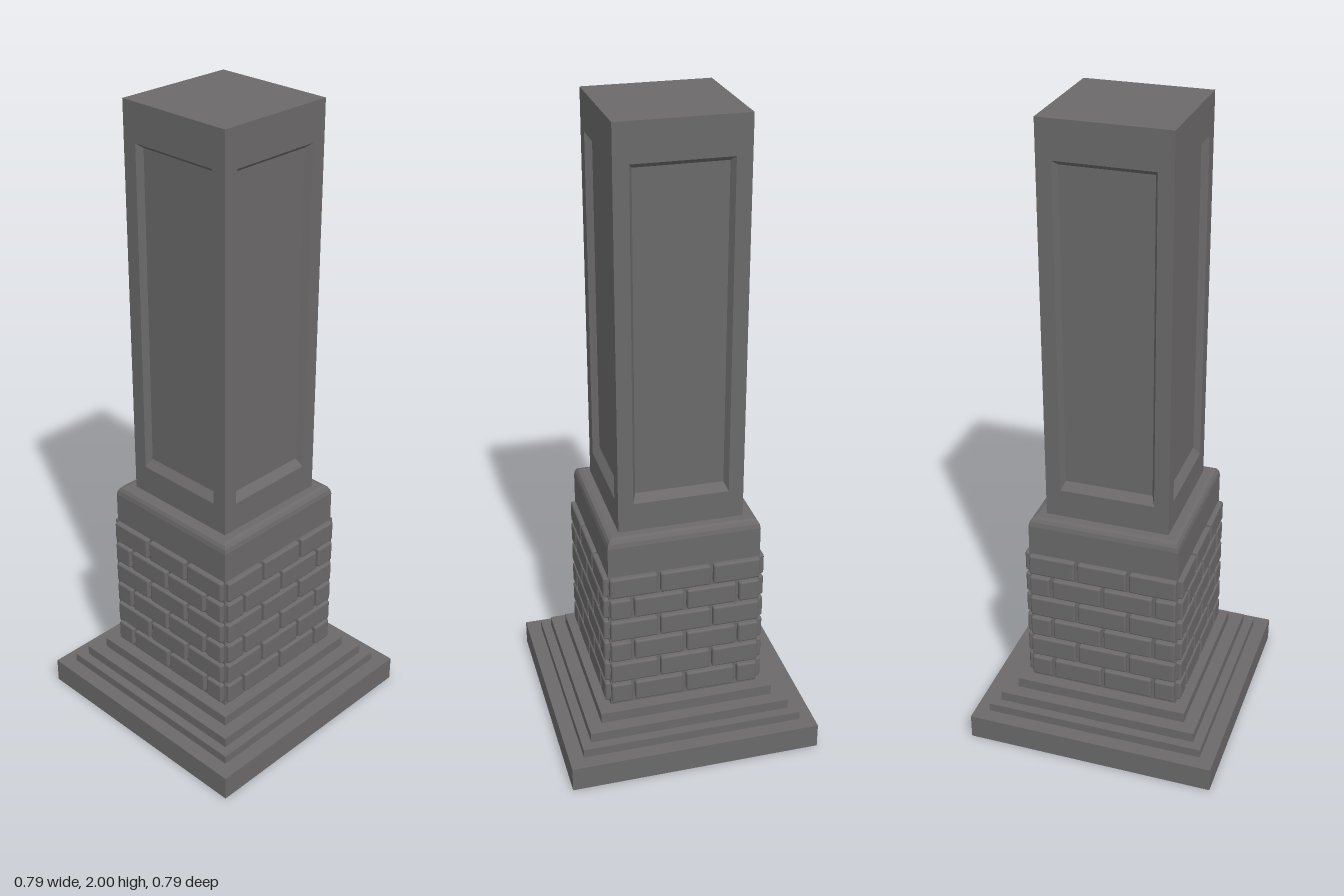
import * as THREE from 'three';
import { RoundedBoxGeometry } from 'three/addons/geometries/RoundedBoxGeometry.js';

const stone = new THREE.MeshStandardMaterial({ color: 0x6b6969 });
stone.name = 'grey stone';

function add(parent, geometry, name, x = 0, y = 0, z = 0) {
  const mesh = new THREE.Mesh(geometry, stone);
  mesh.name = name;
  mesh.position.set(x, y, z);
  parent.add(mesh);
  return mesh;
}

// Square-plan solid from a profile of [half width, height] points
function squareLathe(profile) {
  const points = profile.map(([h, y]) => new THREE.Vector2(h * Math.SQRT2, y));
  const geometry = new THREE.LatheGeometry(points, 4, Math.PI / 4).toNonIndexed();
  geometry.computeVertexNormals();
  return geometry;
}

// One face of the shaft: outer rim, bevelled opening and sunken panel
function panelFace(half, bottom, top) {
  const rings = [
    [half, bottom, top, half],
    [0.147, 0.86, 1.885, half],
    [0.136, 0.885, 1.87, half - 0.02],
  ].map(([w, lo, hi, z]) => [[-w, lo, z], [w, lo, z], [w, hi, z], [-w, hi, z]]);
  const positions = [];
  const quad = (a, b, c, d) => positions.push(...a, ...b, ...c, ...a, ...c, ...d);
  for (let r = 0; r < 2; r++) {
    for (let i = 0; i < 4; i++) {
      const j = (i + 1) % 4;
      quad(rings[r][i], rings[r][j], rings[r + 1][j], rings[r + 1][i]);
    }
  }
  quad(...rings[2]);
  const geometry = new THREE.BufferGeometry();
  geometry.setAttribute('position', new THREE.Float32BufferAttribute(positions, 3));
  geometry.computeVertexNormals();
  return geometry;
}

export function createModel() {
  const model = new THREE.Group();
  model.name = 'column';

  // Stepped plinth: half width, bottom, top
  const steps = [[0.396, 0, 0.08], [0.35, 0.08, 0.108], [0.32, 0.108, 0.14], [0.277, 0.14, 0.174]];
  steps.forEach(([half, lo, hi], i) => {
    add(model, new THREE.BoxGeometry(half * 2, hi - lo, half * 2), `plinthStep${i + 1}`, 0, (lo + hi) / 2, 0);
  });

  // Pedestal core with rounded shoulder
  add(model, squareLathe([
    [0.237, 0.174], [0.237, 0.742], [0.234, 0.756], [0.228, 0.766], [0.217, 0.77], [0, 0.77],
  ]), 'pedestalCore');

  // Brick courses in running bond on all four sides
  const joints = [[-0.24, -0.083, 0.083, 0.24], [-0.24, -0.165, 0, 0.165, 0.24]];
  const gap = 0.01;
  for (let side = 0; side < 4; side++) {
    const wall = new THREE.Group();
    wall.name = `brickWall${side + 1}`;
    wall.rotation.y = side * Math.PI / 2;
    for (let row = 0; row < 6; row++) {
      const edges = joints[(row + 1) % 2];
      for (let i = 0; i + 1 < edges.length; i++) {
        const width = edges[i + 1] - edges[i] - gap;
        const geometry = new RoundedBoxGeometry(width, 0.068, 0.036, 2, 0.007);
        add(wall, geometry, 'brick', (edges[i] + edges[i + 1]) / 2, 0.222 + row * 0.0775, 0.235);
      }
    }
    model.add(wall);
  }

  // Shaft with a sunken panel on each face
  const shaft = new THREE.Group();
  shaft.name = 'shaft';
  for (let side = 0; side < 4; side++) {
    add(shaft, panelFace(0.193, 0.77, 2), `shaftFace${side + 1}`).rotation.y = side * Math.PI / 2;
  }
  const cap = new THREE.PlaneGeometry(0.386, 0.386).rotateX(-Math.PI / 2);
  add(shaft, cap, 'shaftTop', 0, 2, 0);
  model.add(shaft);

  return model;
}
